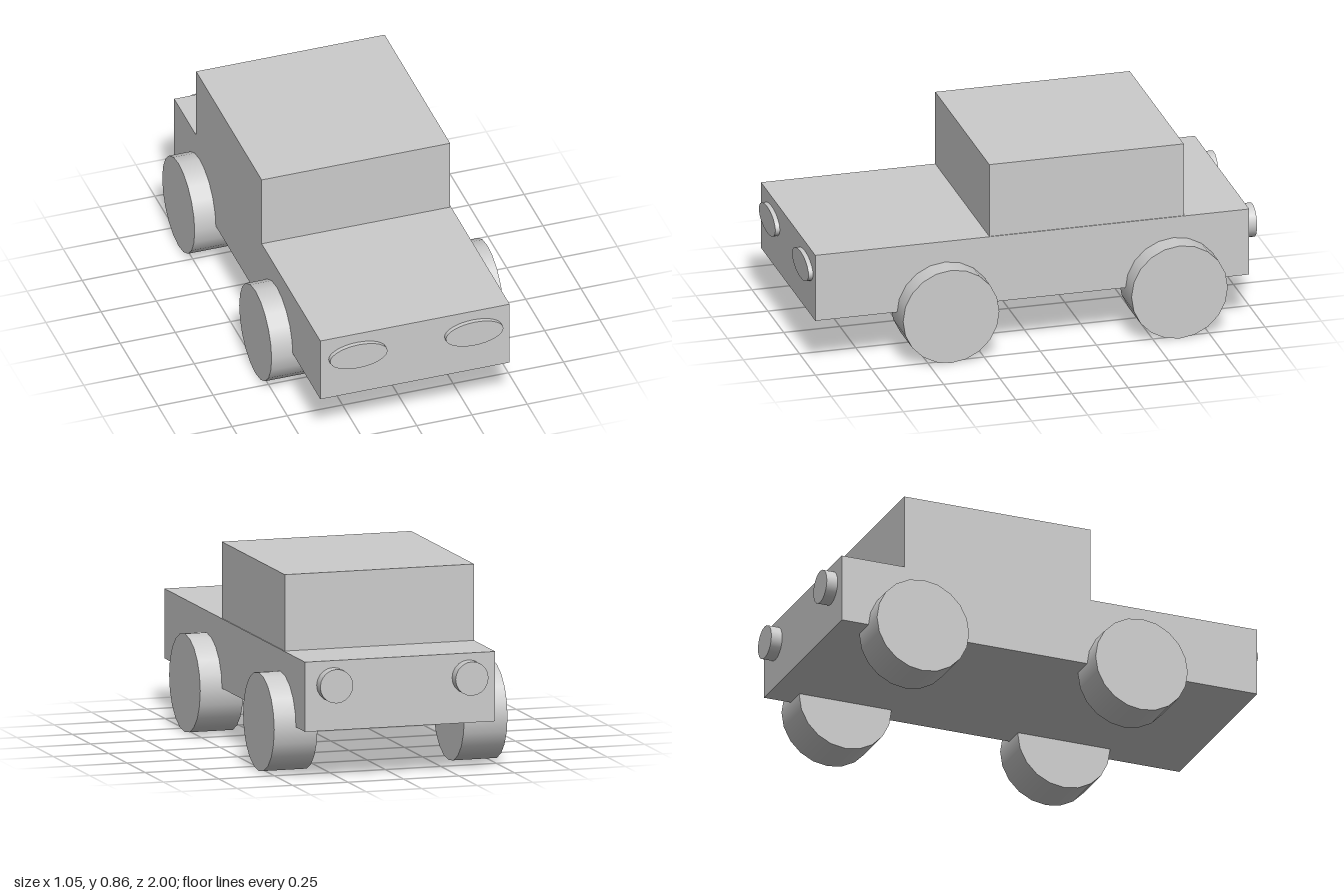
import * as THREE from 'three';

export function createModel() {
  const car = new THREE.Group();
  car.name = 'car';
  const material = new THREE.MeshStandardMaterial({ color: 0xcccccc });

  function add(name, geometry, x, y, z) {
    const mesh = new THREE.Mesh(geometry, material);
    mesh.name = name;
    mesh.position.set(x, y, z);
    car.add(mesh);
    return mesh;
  }

  // Long lower body and the cabin standing on it
  add('body', new THREE.BoxGeometry(0.857, 0.303, 1.93), -0.001, 0.3715, 0.015);
  add('cabin', new THREE.BoxGeometry(0.853, 0.345, 0.865), -0.003, 0.6825, -0.2275);

  // Wheels, axles along x
  const wheel = new THREE.CylinderGeometry(0.214, 0.214, 0.195, 20).rotateZ(Math.PI / 2);
  // Flat oval headlights
  const headlight = new THREE.CylinderGeometry(1, 1, 0.04, 32)
    .rotateX(Math.PI / 2).scale(0.13, 0.06, 1);
  // Round tail lights
  const tailLight = new THREE.CylinderGeometry(0.074, 0.074, 0.08, 20).rotateX(Math.PI / 2);

  for (const [side, s] of [['left', 1], ['right', -1]]) {
    add(side + 'FrontWheel', wheel, s * 0.428, 0.214, 0.403);
    add(side + 'RearWheel', wheel, s * 0.428, 0.214, -0.613);
    add(side + 'Headlight', headlight, s * 0.262, 0.419, 0.98);
    add(side + 'TailLight', tailLight, s * 0.305 - 0.004, 0.419, -0.96);
  }

  return car;
}
